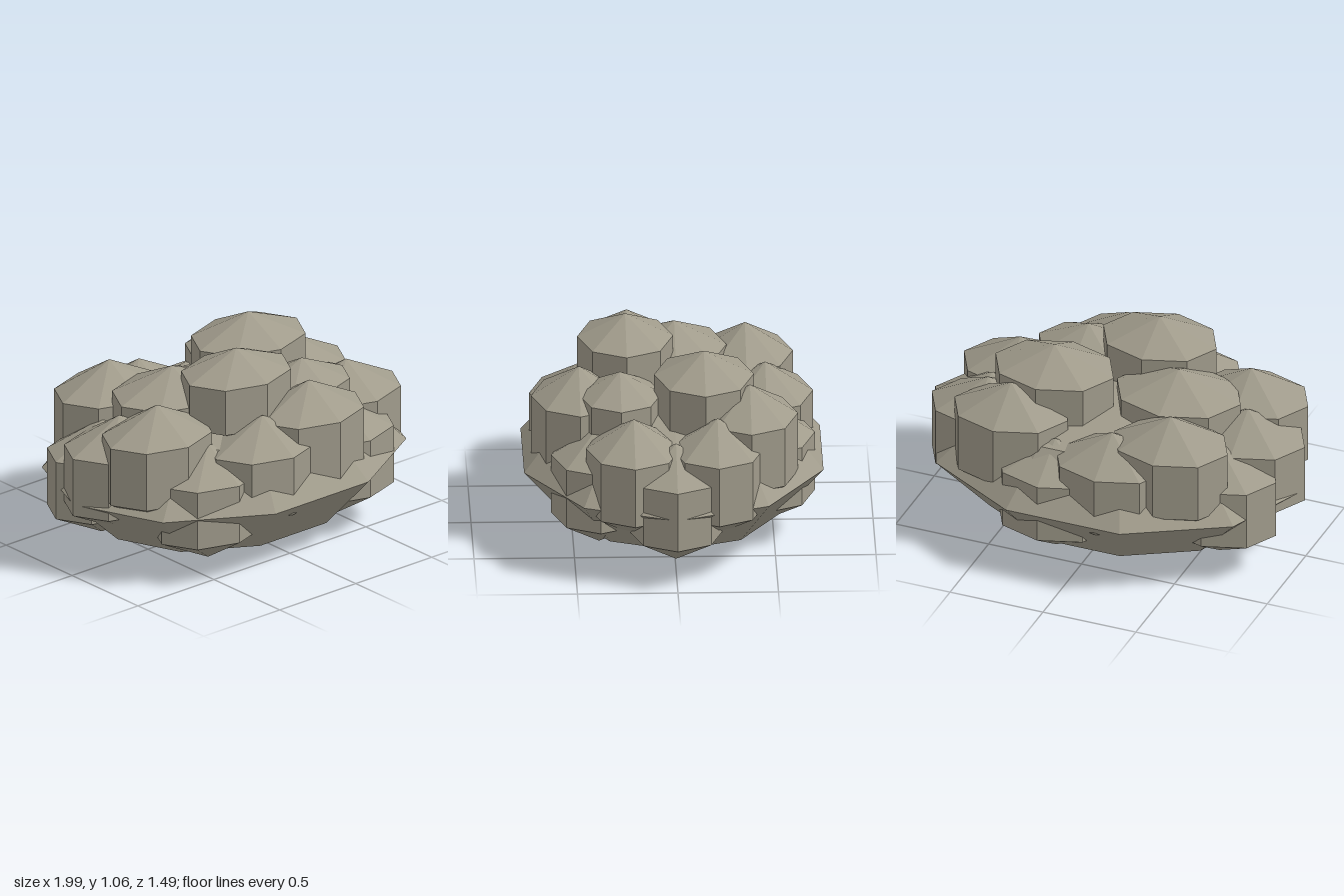
import * as THREE from 'three';

export function createModel() {
  const model = new THREE.Group();
  model.name = 'boulderCluster';
  const stone = new THREE.MeshStandardMaterial({ color: 0xa09b8b, flatShading: true });

  // Faceted ellipsoid: centre, half sizes, number of sides and bands
  function boulder(name, [x, y, z], [rx, ry, rz], sides, bands) {
    const geometry = new THREE.SphereGeometry(1, sides, bands);
    geometry.scale(rx, ry, rz);
    const mesh = new THREE.Mesh(geometry, stone);
    mesh.name = name;
    mesh.position.set(x, y, z);
    model.add(mesh);
  }

  const DEPTH = 0.783; // everything is narrower front to back

  // Wide base
  boulder('base', [0, 0.38, 0], [0.99, 0.38, 0.783], 10, 4);

  // Ring of rocks at three repeating heights
  const heights = [0.58, 0.475, 0.37];
  const count = 14;
  for (let i = 1; i <= count; i++) {
    const a = (i / count) * Math.PI * 2;
    boulder('rimRock' + i,
      [0.69 * Math.cos(a), heights[i % 3], 0.48 * Math.sin(a)],
      [0.352, 0.307, 0.352 * DEPTH], 8, 3);
  }

  // Rocks heaped on top: centre, width and height radii
  const topRocks = [
    [-0.12, 0.82, 0.23, 0.352, 0.24],
    [0.29, 0.765, -0.15, 0.367, 0.25],
    [-0.325, 0.68, -0.02, 0.384, 0.26],
    [0.28, 0.67, 0.267, 0.308, 0.235],
  ];
  topRocks.forEach(([x, y, z, r, ry], i) =>
    boulder('topRock' + (i + 1), [x, y, z], [r, ry, r * DEPTH], 8, 3));

  return model;
}
